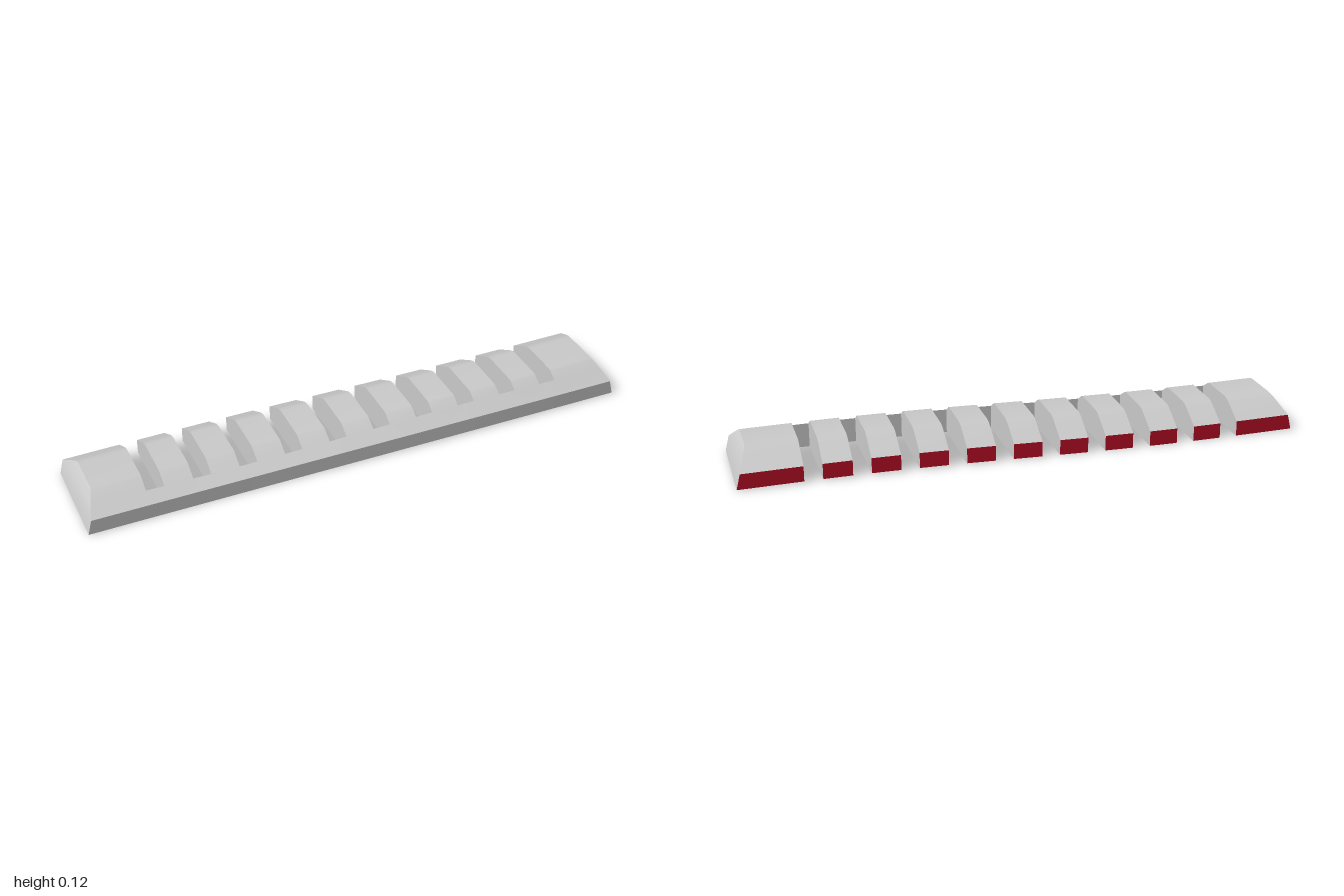
import * as THREE from 'three';
import { toCreasedNormals } from 'three/addons/utils/BufferGeometryUtils.js';

const WALL = 0.13;   // z of the closed end of each slot
const BASE = 0.006;  // underside height
// Cross-section [z, y], from the front foot over the top to the back foot
const PROFILE = [
  [0.178, BASE], [0.178, 0.061], [WALL, 0.09], [0.094, 0.113], [0.083, 0.117],
  [-0.064, 0.117], [-0.083, 0.113], [-0.1, 0.105], [-0.177, 0.061], [-0.177, BASE],
];
const SPINE = [...PROFILE.slice(0, 3), [WALL, BASE]];
const WEB = [[WALL, BASE], ...PROFILE.slice(2)];

// Slight sway along the length; slot ends stay straight
function warp(x, [z, y]) {
  const s = Math.sin(Math.PI * x);
  const lift = y + 0.003 * s;
  if (z === WALL) return [x, lift + (y > BASE ? 0.004 * s : 0), z];
  return [x, lift, z + (z > 0.15 ? 0.004 : 0.009) * s];
}

// Rounded slope of the two ends
const endX = (y) => 1 - 0.045 * Math.pow((y - BASE) / 0.111, 1.7);

function quad(out, a, b, c, d) {
  out.push(...a, ...b, ...c, ...a, ...c, ...d);
}

// Sweep a closed section from x0 to x1; one side may go to another list
function sweep(section, x0, x1, out, steps, backOut) {
  const at = (t, p) => {
    const a = x0 === -1 ? -endX(p[1]) : x0;
    const b = x1 === 1 ? endX(p[1]) : x1;
    return warp(a + (b - a) * t, p);
  };
  section.forEach((p, i) => {
    const q = section[(i + 1) % section.length];
    const target = backOut && i === section.length - 2 ? backOut : out;
    for (let k = 0; k < steps; k++) {
      const t = k / steps, u = (k + 1) / steps;
      quad(target, at(t, p), at(u, p), at(u, q), at(t, q));
    }
  });
}

// Flat side wall of a slot
function slotSide(x, dir, out) {
  const pts = WEB.map((p) => warp(x, p));
  for (let i = 1; i < pts.length - 1; i++) {
    if (dir > 0) out.push(...pts[0], ...pts[i + 1], ...pts[i]);
    else out.push(...pts[0], ...pts[i], ...pts[i + 1]);
  }
}

// Sloping end face, built in horizontal bands
function endFace(dir, out) {
  const pts = PROFILE.map((p) => warp(dir * endX(p[1]), p));
  for (let i = 0; i < 4; i++) {
    const f0 = pts[i], f1 = pts[i + 1], b0 = pts[9 - i], b1 = pts[8 - i];
    if (dir > 0) quad(out, f0, b0, b1, f1);
    else quad(out, b0, f0, f1, b1);
  }
}

function makeMesh(name, positions, color) {
  const geometry = new THREE.BufferGeometry();
  geometry.setAttribute('position', new THREE.Float32BufferAttribute(positions, 3));
  const mesh = new THREE.Mesh(
    toCreasedNormals(geometry, 0.6),
    new THREE.MeshStandardMaterial({ color }),
  );
  mesh.name = name;
  return mesh;
}

export function createModel() {
  const body = [], back = [];
  const slots = 10, pitch = 0.166, width = 0.064, first = -0.783;

  // Full-width blocks alternate with slots bridged by the front spine
  let start = -1;
  for (let i = 0; i < slots; i++) {
    const a = first + i * pitch, b = a + width;
    sweep(PROFILE, start, a, body, 3, back);
    sweep(SPINE, a, b, body, 2);
    slotSide(a, 1, body);
    slotSide(b, -1, body);
    start = b;
  }
  sweep(PROFILE, start, 1, body, 3, back);
  endFace(-1, body);
  endFace(1, body);

  const group = new THREE.Group();
  group.name = 'slottedRail';
  group.add(makeMesh('railBody', body, 0xcccccc), makeMesh('backFaces', back, 0xb80d25));
  return group;
}
